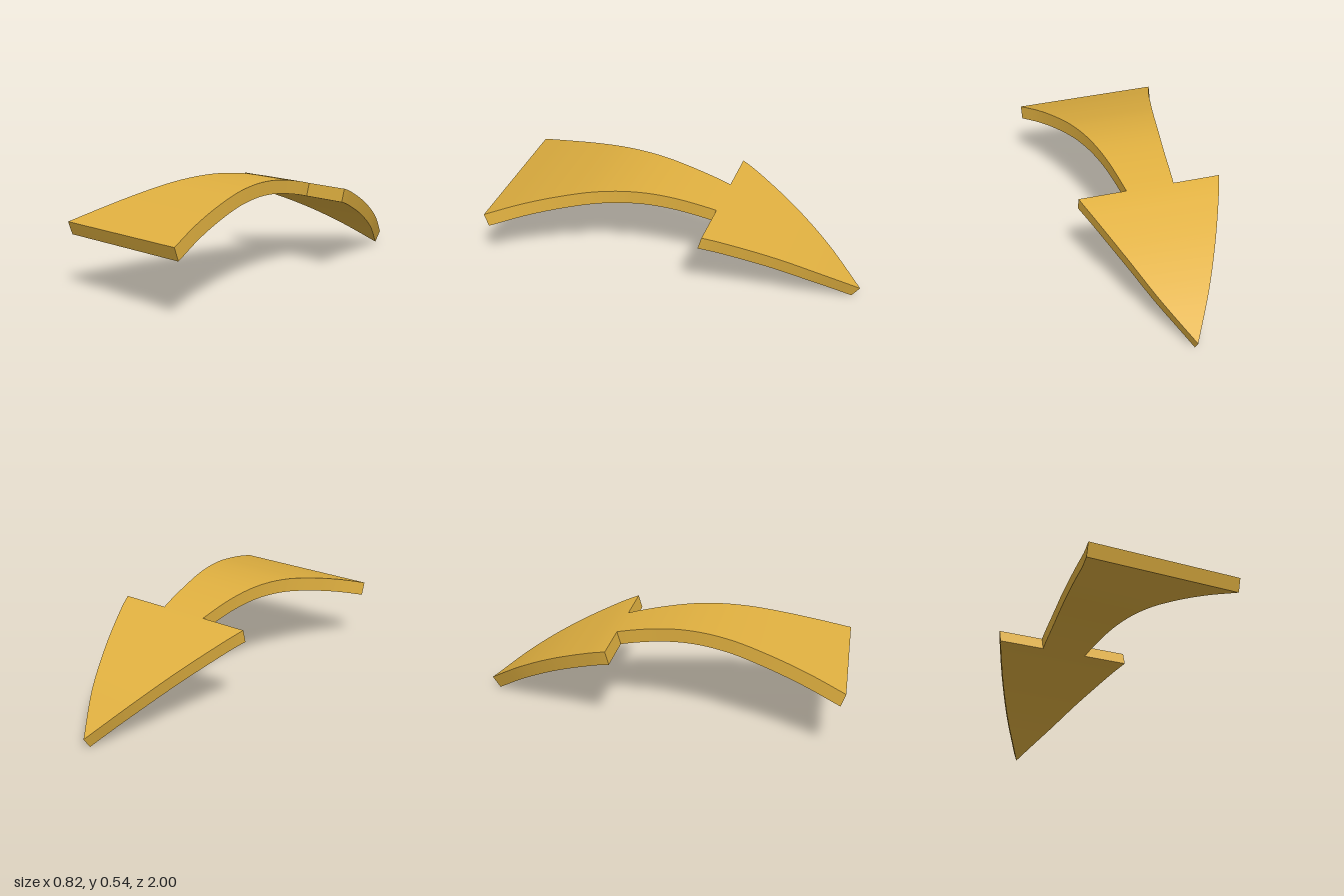
import * as THREE from 'three';

const THICKNESS = 0.073;
const STEPS = 8; // sections per profile span

// Top centre line (z, y), from the tail in front to the tip at the back
const profile = new THREE.CatmullRomCurve3([
  [0.992, 0.364], [0.8, 0.427], [0.6, 0.482], [0.4, 0.523], [0.2, 0.537], [0, 0.519],
  [-0.225, 0.47], [-0.4, 0.405], [-0.6, 0.312], [-0.8, 0.196], [-1, 0.055],
].map(([z, y]) => new THREE.Vector3(0, y, z)), false, 'catmullrom');
const SPANS = 10;

// Left and right edges at the profile points of each part
const shaftEdges = [[-0.41, 0.41], [-0.345, 0.34], [-0.29, 0.28], [-0.24, 0.228],
  [-0.2, 0.184], [-0.168, 0.147], [-0.142, 0.115]];
const headEdges = [[-0.397, 0.371], [-0.327, 0.303], [-0.236, 0.217], [-0.131, 0.12], [-0.005, -0.005]];

// The arrow has a very slight roll and a slanted tail edge
function place(x, y, z) {
  return [x, y + 0.007 * x, z - 0.018 * x * Math.max(0, z)];
}

// Four corners per section: top left, top right, bottom right, bottom left
function makeSections(edges, firstSpan) {
  const curve = new THREE.CatmullRomCurve3(
    edges.map(([l, r]) => new THREE.Vector3(l, r, 0)), false, 'catmullrom');
  const count = (edges.length - 1) * STEPS;
  const sections = [];
  for (let i = 0; i <= count; i++) {
    const t = (firstSpan + i / STEPS) / SPANS;
    const p = profile.getPoint(Math.min(t, 1));
    const d = profile.getTangent(Math.min(t, 1));
    const w = curve.getPoint(i / count);
    // inward normal of the top surface
    const y = p.y + d.z * THICKNESS;
    const z = p.z - d.y * THICKNESS;
    sections.push([place(w.x, p.y, p.z), place(w.y, p.y, p.z), place(w.y, y, z), place(w.x, y, z)]);
  }
  return sections;
}

// Each long side has its own vertices, so it is smooth along and sharp across
function makeBand(edges, firstSpan, cap) {
  const sections = makeSections(edges, firstSpan);
  const positions = [];
  const index = [];
  for (let side = 0; side < 4; side++) {
    const base = positions.length / 3;
    sections.forEach((s) => positions.push(...s[side], ...s[(side + 1) % 4]));
    for (let i = 0; i < sections.length - 1; i++) {
      const a = base + i * 2;
      index.push(a, a + 1, a + 2, a + 1, a + 3, a + 2);
    }
  }
  if (cap) {
    const base = positions.length / 3;
    sections[0].forEach((corner) => positions.push(...corner));
    index.push(base, base + 2, base + 1, base, base + 3, base + 2);
  }
  const geometry = new THREE.BufferGeometry();
  geometry.setAttribute('position', new THREE.Float32BufferAttribute(positions, 3));
  geometry.setIndex(index);
  geometry.computeVertexNormals();
  return geometry;
}

export function createModel() {
  const gold = new THREE.MeshStandardMaterial({ color: 0xe0b040 });
  gold.name = 'gold';
  const group = new THREE.Group();
  group.name = 'curvedArrow';

  // Flared shaft
  const shaft = new THREE.Mesh(makeBand(shaftEdges, 0, true), gold);
  shaft.name = 'arrowShaft';

  // Pointed head with square shoulders
  const head = new THREE.Mesh(makeBand(headEdges, 6, true), gold);
  head.name = 'arrowHead';

  group.add(shaft, head);
  return group;
}
